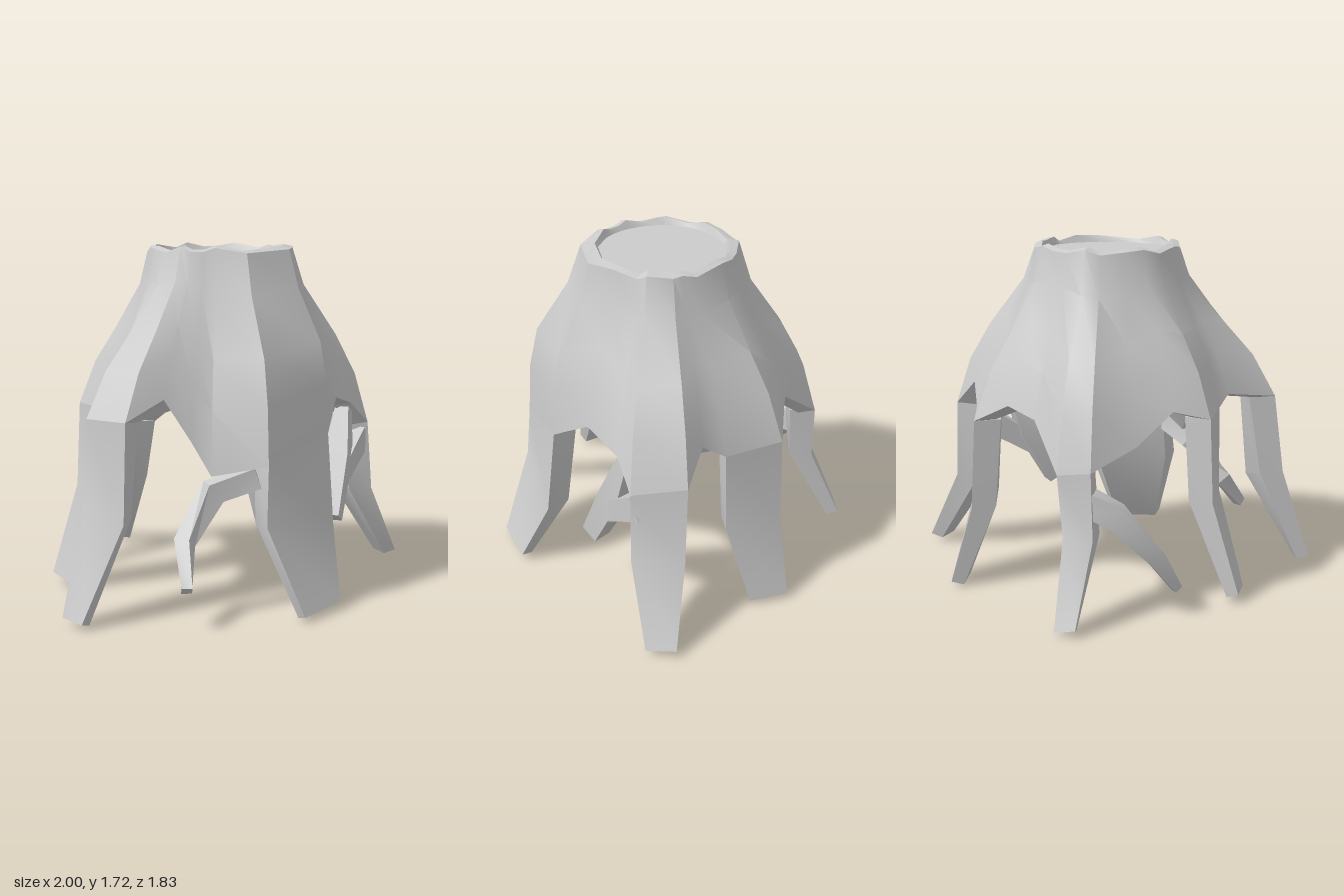
import * as THREE from 'three';
import { toCreasedNormals } from 'three/addons/utils/BufferGeometryUtils.js';

const V = (p) => new THREE.Vector3(p[0], p[1], p[2]);
const AXIS = [-0.03, 0.05];
const TOP = 1.705;

// Each root: knee, mid and foot, as two outer corners each; webs are the arch points that follow it.
const ROOTS = [
  { name: 'rightRoot', bulge: 0.4,
    a: [[0.78, 0.83, -0.12], [0.8, 0.42, -0.11], [1, 0.04, -0.08]],
    b: [[0.77, 0.78, 0.15], [0.8, 0.42, 0.15], [1, 0.04, 0.07]],
    webs: [[0.63, 0.9, 0.22], [0.46, 0.96, 0.38]] },
  { name: 'frontRoot', bulge: 1.2,
    a: [[0.32, 0.82, 0.57], [0.33, 0.37, 0.62], [0.29, 0.04, 0.78]],
    b: [[-0.08, 0.72, 0.76], [-0.1, 0.44, 0.79], [0.04, 0.03, 0.91]],
    webs: [[-0.3, 0.66, 0.6], [-0.38, 0.82, 0.55], [-0.5, 1.02, 0.51]] },
  { name: 'frontLeftRoot', bulge: 0,
    a: [[-0.7, 0.93, 0.55], [-0.72, 0.46, 0.57], [-0.94, 0.03, 0.62]],
    b: [[-0.83, 0.93, 0.37], [-0.87, 0.52, 0.42], [-1, 0.04, 0.51]],
    webs: [[-0.66, 0.97, 0.14]] },
  { name: 'sideRoot', bulge: 0,
    a: [[-0.65, 0.92, 0.05], [-0.66, 0.5, 0.04], [-0.82, 0.03, -0.01]],
    b: [[-0.7, 0.92, -0.2], [-0.72, 0.5, -0.2], [-0.86, 0.05, -0.19]],
    webs: [[-0.56, 0.97, -0.33], [-0.44, 0.82, -0.48]] },
  { name: 'backRoot', bulge: 0.4,
    a: [[-0.32, 0.74, -0.72], [-0.34, 0.42, -0.74], [-0.33, 0.04, -0.9]],
    b: [[-0.16, 0.72, -0.75], [-0.19, 0.42, -0.75], [-0.23, 0.02, -0.92]],
    webs: [[0.05, 0.92, -0.58], [0.2, 0.97, -0.57]] },
  { name: 'backRightRoot', bulge: 0,
    a: [[0.4, 0.87, -0.56], [0.42, 0.42, -0.57], [0.52, 0.03, -0.62]],
    b: [[0.55, 0.87, -0.29], [0.56, 0.45, -0.3], [0.59, 0.03, -0.43]],
    webs: [[0.63, 0.97, -0.18]] },
];

// Side twigs: x, y, z and radius along the path.
const TWIGS = [
  ['rightTwig', [[0.61, 0.87, 0.18, 0.05], [0.55, 0.63, 0.24, 0.09], [0.45, 0.34, 0.36, 0.07]]],
  ['rightTwigFork', [[0.73, 0.7, 0.09, 0.09], [0.63, 0.62, 0.18, 0.08], [0.54, 0.54, 0.26, 0.07]]],
  ['frontTwig', [[-0.1, 0.66, 0.68, 0.07], [-0.29, 0.59, 0.6, 0.075], [-0.45, 0.37, 0.64, 0.055], [-0.5, 0.19, 0.8, 0.035]]],
  ['backTwig', [[-0.26, 0.6, -0.68, 0.08], [-0.41, 0.52, -0.63, 0.08], [-0.56, 0.31, -0.52, 0.06], [-0.63, 0.13, -0.42, 0.03]]],
];

// Skin over closed rings of equal length, closed to a point at each end.
function skin(rings) {
  const centre = (ring) => {
    const c = new THREE.Vector3();
    ring.forEach((p) => c.add(p));
    return c.divideScalar(ring.length);
  };
  const pos = [];
  const tri = (...pts) => pts.forEach((p) => pos.push(p.x, p.y, p.z));
  const n = rings[0].length;
  const last = rings[rings.length - 1];
  const c0 = centre(rings[0]), c1 = centre(last);
  for (let i = 0; i < n; i++) {
    const k = (i + 1) % n;
    for (let j = 0; j < rings.length - 1; j++) {
      const r = rings[j], s = rings[j + 1];
      tri(r[i], r[k], s[i]);
      tri(r[k], s[k], s[i]);
    }
    tri(c0, rings[0][k], rings[0][i]);
    tri(c1, last[i], last[k]);
  }
  const g = new THREE.BufferGeometry();
  g.setAttribute('position', new THREE.Float32BufferAttribute(pos, 3));
  return toCreasedNormals(g, 0.5);
}

// Trunk: every column runs from the cut top, down the outside, and under to a shallow hollow.
function trunkGeometry() {
  const columns = [];
  ROOTS.forEach(({ a, b, webs, bulge }) => {
    columns.push([a[0], bulge], [b[0], bulge]);
    webs.forEach((w) => columns.push([w, 0]));
  });
  const T = [0.22, 0.5, 0.72], F = [0.11, 0.46, 0.76], EXTRA = [0.1, 0.27, 0.15];
  const profiles = columns.map(([low, bulge], i) => {
    const angle = Math.atan2(low[2] - AXIS[1], low[0] - AXIS[0]);
    const reach = Math.hypot(low[2] - AXIS[1], low[0] - AXIS[0]);
    const at = (r, y) => new THREE.Vector3(AXIS[0] + r * Math.cos(angle), y, AXIS[1] + r * Math.sin(angle));
    const rim = 0.365 + 0.03 * bulge;
    const top = TOP + 0.014 * Math.sin(i * 2.3);
    const outer = T.map((t, j) => at(
      rim + (reach - rim) * (F[j] + EXTRA[j] * bulge), top + (low[1] - top) * t));
    return [at(0.315, TOP - 0.03), at(0.33, top), at(rim, top - 0.01), ...outer,
      at(reach, low[1]), at(reach - 0.09, low[1] - 0.01), at(reach * 0.6, 0.96)];
  });
  return skin(profiles[0].map((_, j) => profiles.map((p) => p[j])));
}

// Root leg: four-sided sections, set in from the outer edge by a tapering depth.
function legGeometry({ a, b }) {
  const depth = [0.13, 0.12, 0.06], sink = [0, 0, 0.02];
  return skin(a.map((pa, j) => {
    const p = V(pa), q = V(b[j]);
    const inward = new THREE.Vector3(p.z - q.z, 0, q.x - p.x).normalize().multiplyScalar(depth[j]);
    inward.y = -sink[j];
    return [p, q, q.clone().lerp(p, 0.1).add(inward), p.clone().lerp(q, 0.1).add(inward)];
  }));
}

// Twig: four-sided rings square to the path.
function twigGeometry(path) {
  const pts = path.map(V);
  return skin(pts.map((p, j) => {
    const t = pts[Math.min(j + 1, pts.length - 1)].clone().sub(pts[Math.max(j - 1, 0)]).normalize();
    const n = new THREE.Vector3(0, 1, 0).addScaledVector(t, -t.y).normalize();
    const s = t.clone().cross(n);
    return [0, 1, 2, 3].map((k) => {
      const u = (k + 0.5) * Math.PI / 2;
      return p.clone().addScaledVector(n, path[j][3] * Math.cos(u)).addScaledVector(s, path[j][3] * Math.sin(u));
    });
  }));
}

export function createModel() {
  const group = new THREE.Group();
  group.name = 'rootStump';
  const material = new THREE.MeshStandardMaterial({ color: 0xcccccc, side: THREE.DoubleSide });
  const add = (name, geometry) => {
    const mesh = new THREE.Mesh(geometry, material);
    mesh.name = name;
    group.add(mesh);
  };
  add('trunk', trunkGeometry());
  ROOTS.forEach((root) => add(root.name, legGeometry(root)));
  TWIGS.forEach(([name, path]) => add(name, twigGeometry(path)));
  return group;
}
